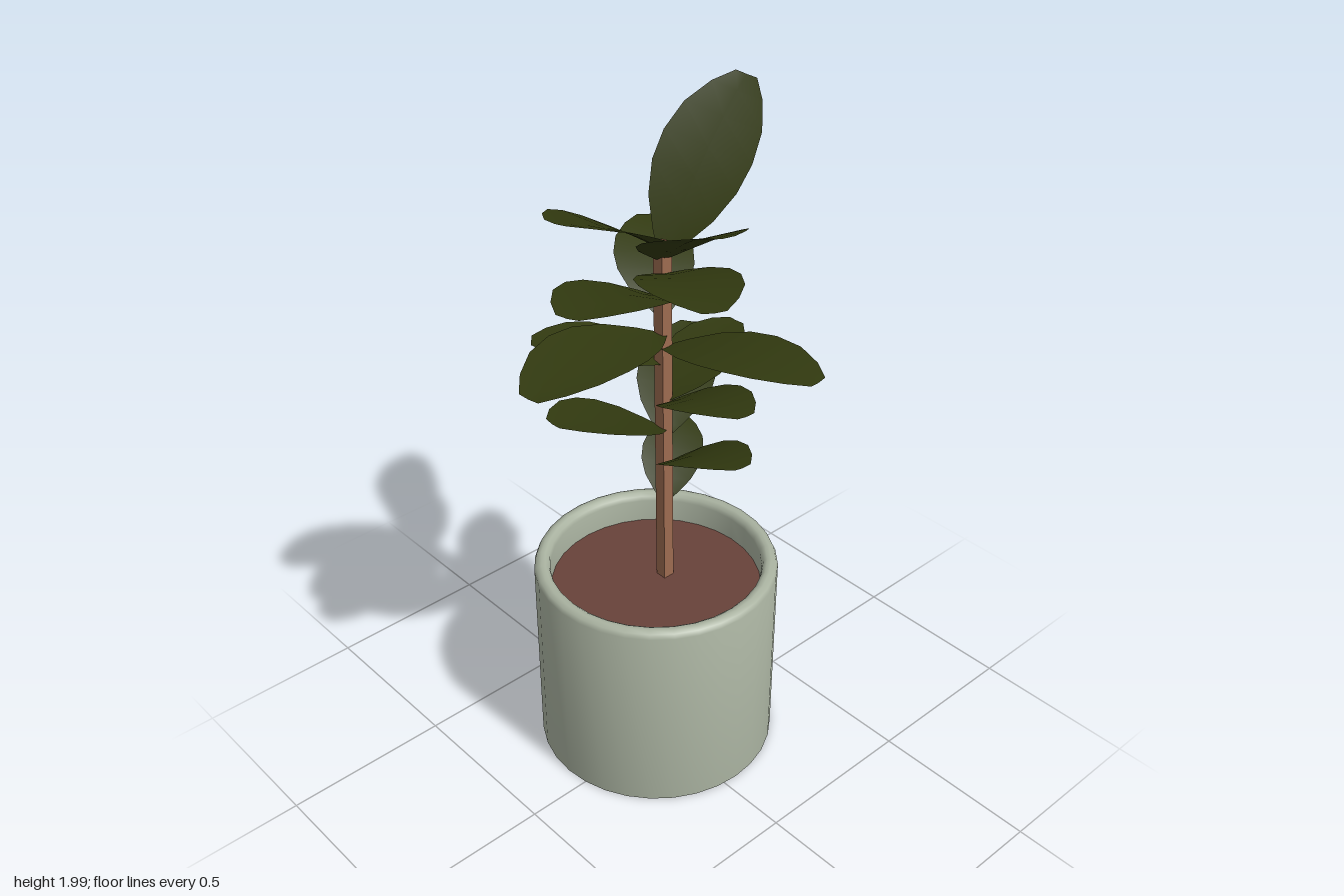
import * as THREE from 'three';
import { toCreasedNormals } from 'three/addons/utils/BufferGeometryUtils.js';

const flat = (name, color, side = THREE.FrontSide) => {
  const m = new THREE.MeshStandardMaterial({ color, side });
  m.name = name;
  return m;
};

// Half width along the blade, as [distance, share of half width]
const OUTLINE = [[0, 0.1], [0.1, 0.38], [0.25, 0.74], [0.42, 0.96], [0.58, 1], [0.75, 0.88], [0.9, 0.58], [1, 0.24]];

// Arched blade from base to tip, slightly folded along the midrib
function leafGeometry(base, tip, width, arch, roll) {
  const dir = tip.clone().sub(base).normalize();
  const flatSide = dir.clone().cross(new THREE.Vector3(0, 1, 0)).normalize();
  const up = flatSide.clone().cross(dir).normalize();
  const side = flatSide.clone().multiplyScalar(Math.cos(roll)).addScaledVector(up, Math.sin(roll));
  const normal = side.clone().cross(dir).normalize();
  const control = base.clone().lerp(tip, 0.5).addScaledVector(normal, arch * 2);
  const midrib = new THREE.QuadraticBezierCurve3(base, control, tip);
  const pos = [], idx = [];
  OUTLINE.forEach(([t, w], i) => {
    const c = midrib.getPoint(t);
    for (const s of [-1, 0, 1]) {
      const p = c.clone().addScaledVector(side, s * w * width / 2)
        .addScaledVector(normal, Math.abs(s) * w * width * 0.04);
      pos.push(p.x, p.y, p.z);
    }
    if (i === 0) return;
    for (const k of [0, 1]) {
      const a = (i - 1) * 3 + k, b = a + 3;
      idx.push(a, a + 1, b, a + 1, b + 1, b);
    }
  });
  const g = new THREE.BufferGeometry();
  g.setAttribute('position', new THREE.Float32BufferAttribute(pos, 3));
  g.setIndex(idx);
  g.computeVertexNormals();
  return g;
}

export function createModel() {
  const model = new THREE.Group();
  const potMat = flat('pale sage glaze', 0xa9b2a0);
  const soilMat = flat('brown soil', 0x68423a);
  const barkMat = flat('tan bark', 0x9c6b50);
  const leafMat = flat('deep green', 0x323a10, THREE.DoubleSide);

  const add = (name, geometry, material, parent = model) => {
    const mesh = new THREE.Mesh(geometry, material);
    mesh.name = name;
    parent.add(mesh);
    return mesh;
  };

  // Pot with a softened rim and a hollow top
  const profile = [[0, 0], [0.357, 0], [0.357, 0.615], [0.351, 0.629], [0.337, 0.635],
    [0.325, 0.634], [0.314, 0.626], [0.31, 0.612], [0.31, 0.52]];
  const potGeo = new THREE.LatheGeometry(profile.map(([r, y]) => new THREE.Vector2(r, y)), 32);
  add('pot', toCreasedNormals(potGeo, 0.9), potMat).position.set(-0.07, 0, -0.045);

  // Soil disc
  const soil = add('soil', new THREE.CircleGeometry(0.312, 32), soilMat);
  soil.rotation.x = -Math.PI / 2;
  soil.position.set(-0.07, 0.54, -0.045);

  // Square, slightly leaning stem
  const stemX = y => -0.08 - 0.012 * (y - 0.54);
  const stemZ = -0.09;
  const stemGeo = new THREE.BoxGeometry(0.035, 1.09, 0.035, 1, 6, 1).translate(0, 1.075, 0);
  const sp = stemGeo.attributes.position;
  for (let i = 0; i < sp.count; i++) sp.setX(i, sp.getX(i) + stemX(sp.getY(i)));
  stemGeo.computeVertexNormals();
  add('stem', stemGeo, barkMat).position.z = stemZ;

  // Leaves from top to bottom: base height, tip x, y, z, width, arch, roll
  const leaves = [
    [1.58, -0.13, 1.98, -0.42, 0.26, 0.03, -0.3],
    [1.60, 0.01, 1.845, 0.34, 0.27, 0.02, 0],
    [1.57, 0.32, 1.84, 0.10, 0.26, 0.02, 0],
    [1.53, 0.34, 1.67, 0.14, 0.26, 0.03, 0],
    [1.46, 0.08, 1.635, 0.37, 0.27, 0.03, 0],
    [1.40, -0.37, 1.545, -0.28, 0.22, 0.02, 0],
    [1.35, -0.03, 1.38, 0.415, 0.28, 0.04, 0],
    [1.31, 0.42, 1.40, -0.15, 0.24, 0.03, 0],
    [1.26, -0.32, 1.335, 0.18, 0.22, 0.02, 0],
    [1.14, -0.10, 1.28, -0.38, 0.22, 0.02, 0],
    [1.13, 0.285, 1.285, -0.035, 0.22, 0.03, 0],
    [1.05, -0.10, 1.22, 0.29, 0.25, 0.02, 0],
    [1.02, -0.29, 1.20, -0.38, 0.23, 0.02, 0],
    [0.93, 0.275, 1.12, -0.04, 0.22, 0.03, 0],
    [0.80, -0.22, 0.95, -0.28, 0.18, 0.02, 0],
  ];
  const foliage = new THREE.Group();
  foliage.name = 'foliage';
  model.add(foliage);
  for (const [y, tx, ty, tz, width, arch, roll] of leaves) {
    const base = new THREE.Vector3(stemX(y), y, stemZ);
    const tip = new THREE.Vector3(tx, ty, tz);
    add('leaf', leafGeometry(base, tip, width, arch, roll), leafMat, foliage);
  }
  return model;
}
